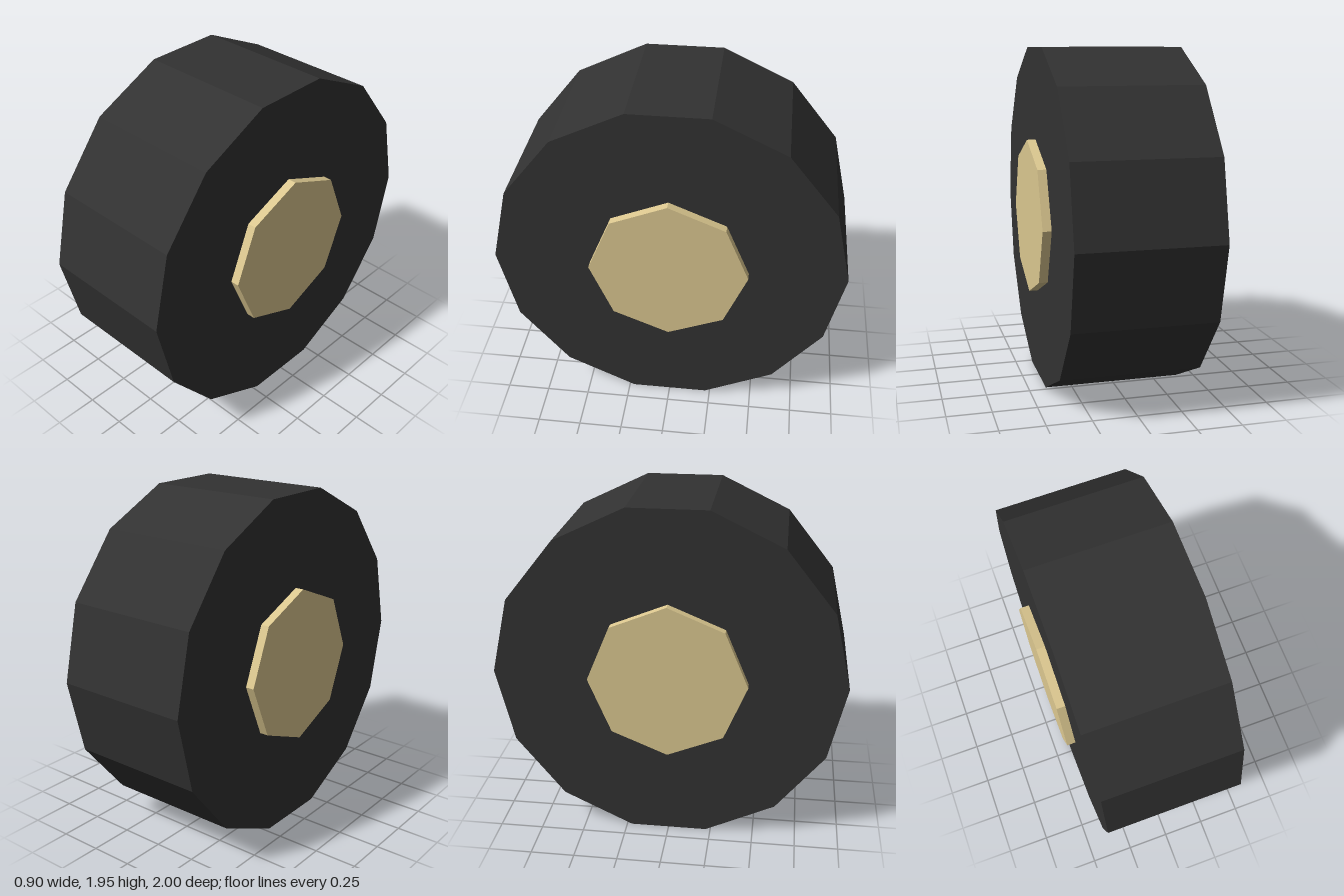
import * as THREE from 'three';

const TYRE_SIDES = 14;
const HUB_SIDES = 8;

// Faceted disc with its axle along x and a corner pointing to +z
function makeDisc(name, radius, width, sides, material) {
  const geometry = new THREE.CylinderGeometry(radius, radius, width, sides).toNonIndexed();
  geometry.rotateZ(Math.PI / 2);
  geometry.computeVertexNormals();
  const mesh = new THREE.Mesh(geometry, material);
  mesh.name = name;
  return mesh;
}

export function createModel() {
  const rubber = new THREE.MeshStandardMaterial({ color: 0x323232 });
  rubber.name = 'dark rubber';
  const tan = new THREE.MeshStandardMaterial({ color: 0xdcc890 });
  tan.name = 'tan hub';

  const wheel = new THREE.Group();
  wheel.name = 'wheel';

  // Tyre rests on one of its flat facets
  const axleHeight = Math.cos(Math.PI / TYRE_SIDES);
  const tyre = makeDisc('tyre', 1, 0.8, TYRE_SIDES, rubber);
  tyre.position.y = axleHeight;
  wheel.add(tyre);

  // Hub caps standing slightly proud of each side wall
  for (const side of [-1, 1]) {
    const name = side > 0 ? 'leftHubCap' : 'rightHubCap';
    const cap = makeDisc(name, 0.45, 0.05, HUB_SIDES, tan);
    cap.position.set(side * 0.425, axleHeight, 0);
    wheel.add(cap);
  }

  return wheel;
}
